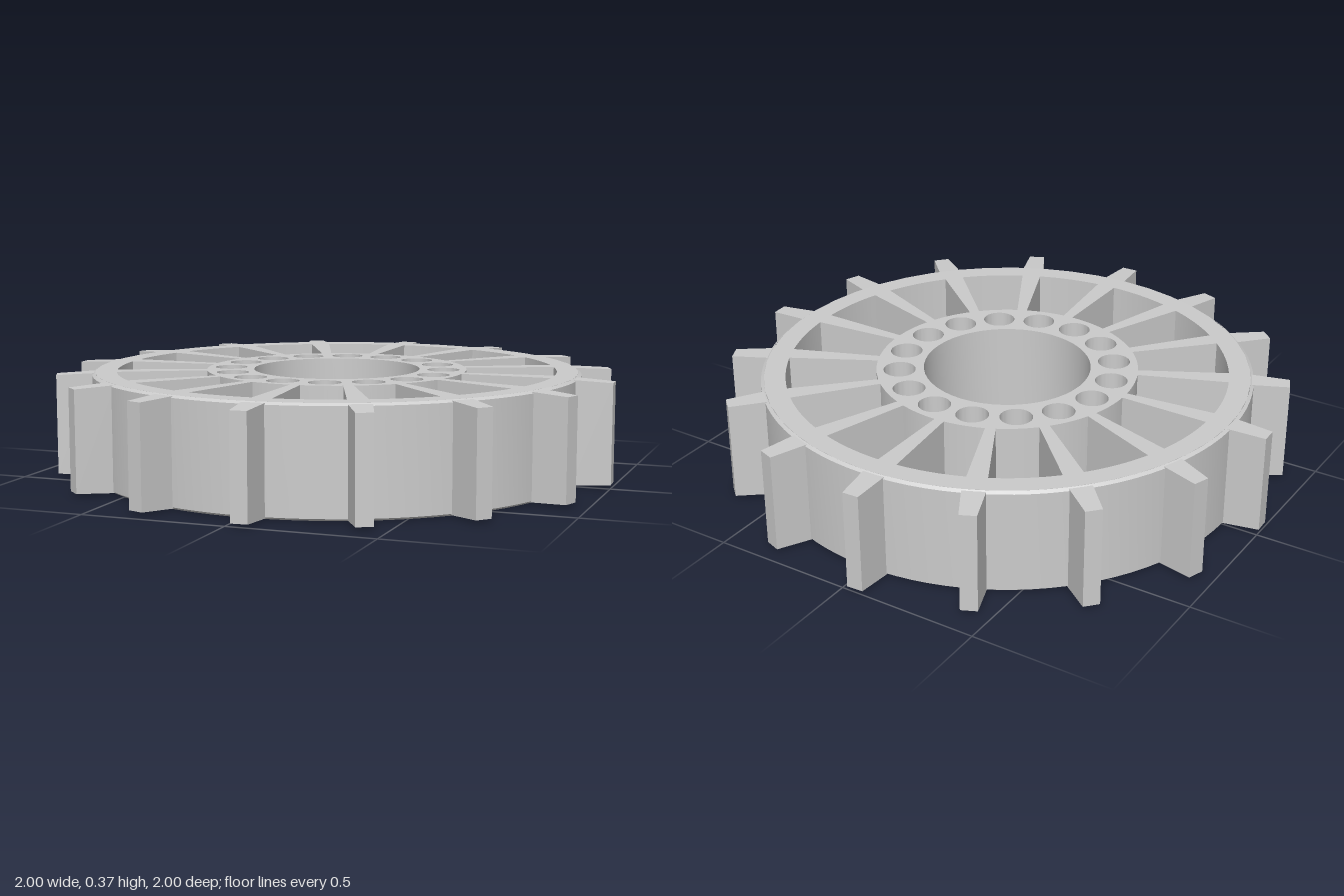
import * as THREE from 'three';
import { toCreasedNormals } from 'three/addons/utils/BufferGeometryUtils.js';

const HEIGHT = 0.374, COUNT = 16, STEP = (Math.PI * 2) / COUNT;
const SPOKE_ANGLE = THREE.MathUtils.degToRad(2.7);
const HOLE_ANGLE = THREE.MathUtils.degToRad(14.2);
const BORE = 0.297, HUB = 0.465, RIM_IN = 0.785, RIM_FACE = 0.861, RIM_OUT = 0.872;

const circle = (x, y, r) => new THREE.Path().absarc(x, y, r, 0, Math.PI * 2, true);

// Opening between two tapered spokes, starting at spoke angle a
function windowHole(a) {
  const inner = Math.asin(0.018 / HUB), outer = Math.asin(0.035 / RIM_IN);
  const path = new THREE.Path();
  path.absarc(0, 0, RIM_IN, a + outer, a + STEP - outer, false);
  path.absarc(0, 0, HUB, a + STEP - inner, a + inner, true);
  path.closePath();
  return path;
}

export function createModel() {
  const group = new THREE.Group();
  const material = new THREE.MeshStandardMaterial({ color: 0xcccccc });
  const add = (geometry, name, parent = group) => {
    const mesh = new THREE.Mesh(geometry, material);
    mesh.name = name;
    parent.add(mesh);
    return mesh;
  };

  // Hub, spokes and rim cut from one disc
  const disc = new THREE.Shape().absarc(0, 0, RIM_FACE, 0, Math.PI * 2, false);
  disc.holes.push(circle(0, 0, BORE));
  for (let i = 0; i < COUNT; i++) {
    const h = HOLE_ANGLE + i * STEP;
    disc.holes.push(circle(0.383 * Math.cos(h), 0.383 * Math.sin(h), 0.057));
    disc.holes.push(windowHole(SPOKE_ANGLE + i * STEP));
  }
  const wheel = new THREE.ExtrudeGeometry(disc, { depth: HEIGHT, bevelEnabled: false, curveSegments: 24 });
  wheel.rotateX(-Math.PI / 2);
  add(toCreasedNormals(wheel, 0.5), 'spokedWheel');

  // Outer band with small chamfers
  const band = new THREE.LatheGeometry([
    new THREE.Vector2(RIM_FACE, 0),
    new THREE.Vector2(RIM_OUT, 0.008),
    new THREE.Vector2(RIM_OUT, HEIGHT - 0.008),
    new THREE.Vector2(RIM_FACE, HEIGHT),
  ], 96);
  add(toCreasedNormals(band, 0.4), 'rimBand');

  // Tapered paddle teeth, narrower and slightly shorter at the tip
  const tooth = new THREE.BoxGeometry(1, 1, 1);
  const p = tooth.attributes.position;
  for (let i = 0; i < p.count; i++) {
    const tip = p.getX(i) > 0;
    p.setXYZ(i, tip ? 0.998 : 0.86,
      HEIGHT / 2 + p.getY(i) * (tip ? 0.354 : 0.368),
      p.getZ(i) * (tip ? 0.058 : 0.08));
  }
  tooth.computeVertexNormals();
  const teeth = new THREE.Group();
  teeth.name = 'teeth';
  group.add(teeth);
  for (let i = 0; i < COUNT; i++) {
    add(tooth, 'tooth', teeth).rotation.y = SPOKE_ANGLE + i * STEP;
  }
  return group;
}
